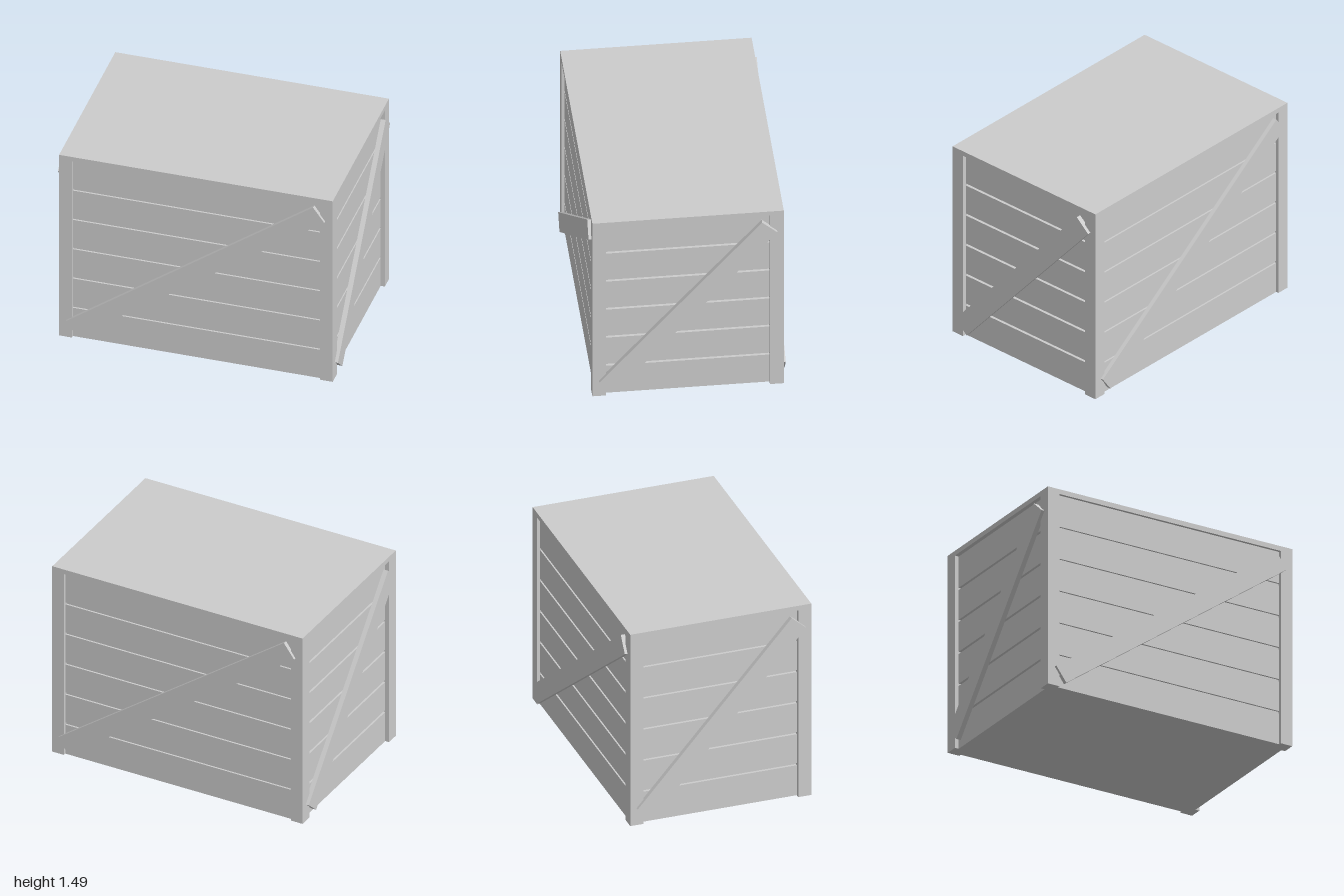
import * as THREE from 'three';

export function createModel() {
  const crate = new THREE.Group();
  crate.name = 'crate';
  const grey = new THREE.MeshStandardMaterial({ color: 0xcccccc });
  grey.name = 'plain grey';

  const X = 0.977, Z = 0.658, H = 1.485;   // half width, half depth, height
  const postX = 0.092, postZ = 0.095;      // corner post section
  const lidY = 1.449;                      // underside of the lid
  const panelX = 0.947, panelZ = 0.638;    // recessed plank faces
  const coreX = 0.927, coreZ = 0.625;      // bottom of the grooves

  function box(name, w, h, d, x, y, z, parent = crate) {
    const mesh = new THREE.Mesh(new THREE.BoxGeometry(w, h, d), grey);
    mesh.name = name;
    mesh.position.set(x, y, z);
    parent.add(mesh);
    return mesh;
  }

  // Solid body behind the planks, and the flat lid
  box('core', coreX * 2, lidY, coreZ * 2, 0, lidY / 2, 0);
  box('lid', X * 2, H - lidY, Z * 2, 0, (H + lidY) / 2, 0);

  // Corner posts
  for (const sx of [-1, 1]) for (const sz of [-1, 1])
    box('cornerPost', postX, lidY, postZ, sx * (X - postX / 2), lidY / 2, sz * (Z - postZ / 2));

  // Six rows of planks wrap the body, with narrow grooves between
  const pitch = 0.241, gap = 0.017;
  for (let i = 0; i < 6; i++) {
    const bottom = i === 0 ? 0 : i * pitch + gap / 2;
    const top = i === 5 ? lidY : (i + 1) * pitch - gap / 2;
    box('plankRow', panelX * 2, top - bottom, panelZ * 2, 0, (top + bottom) / 2, 0);
  }

  // Diagonal braces, each pair turned half way round the crate
  for (const turn of [0, Math.PI]) {
    const pair = new THREE.Group();
    pair.name = 'bracePair';
    pair.rotation.y = turn;
    crate.add(pair);
    const front = box('longBrace', 2.18, 0.136, 0.03, 0, 0.725, 0.663, pair);
    front.rotation.z = Math.atan2(1.28, 1.765);
    const side = box('shortBrace', 0.035, 0.14, 1.70, 0.9825, 0.725, 0, pair);
    side.rotation.x = Math.atan2(1.28, 1.12);
  }
  return crate;
}
